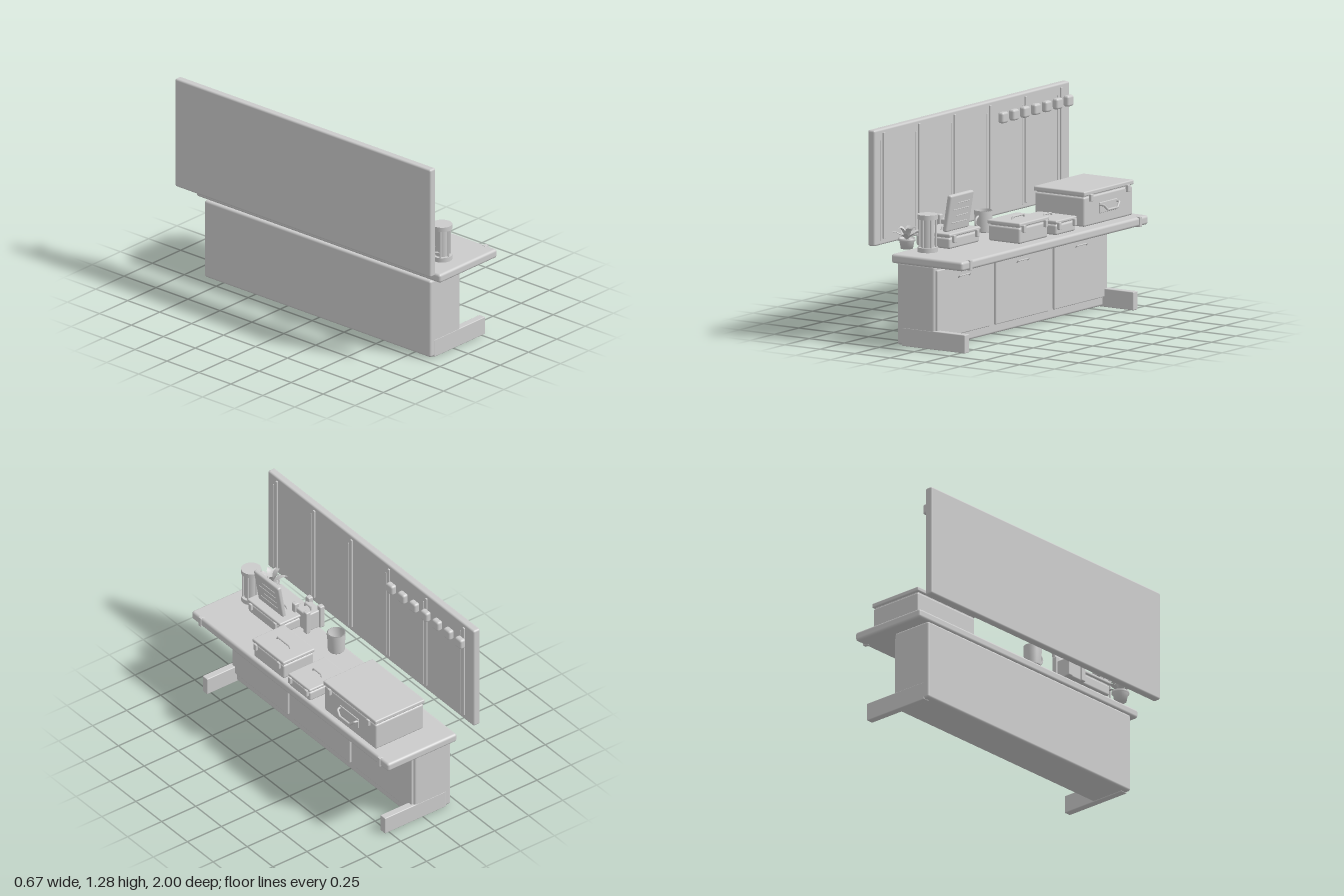
import * as THREE from 'three';
import { RoundedBoxGeometry } from 'three/addons/geometries/RoundedBoxGeometry.js';

const grey = new THREE.MeshStandardMaterial({ color: 0xcccccc });
const greyDouble = new THREE.MeshStandardMaterial({ color: 0xcccccc, side: THREE.DoubleSide });

function add(parent, name, geometry, x = 0, y = 0, z = 0, material = grey) {
  const mesh = new THREE.Mesh(geometry, material);
  mesh.name = name;
  mesh.position.set(x, y, z);
  parent.add(mesh);
  return mesh;
}

// Rounded box given by its limits along each axis
function box(parent, name, [x0, x1], [y0, y1], [z0, z1], r = 0.01) {
  const w = x1 - x0, h = y1 - y0, d = z1 - z0;
  const radius = Math.min(r, w * 0.45, h * 0.45, d * 0.45);
  return add(parent, name, new RoundedBoxGeometry(w, h, d, 3, radius),
    (x0 + x1) / 2, (y0 + y1) / 2, (z0 + z1) / 2);
}

// Bent rod through the given points
function rod(parent, name, points, r) {
  const path = new THREE.CurvePath();
  const v = points.map(p => new THREE.Vector3(...p));
  for (let i = 1; i < v.length; i++) path.add(new THREE.LineCurve3(v[i - 1], v[i]));
  return add(parent, name, new THREE.TubeGeometry(path, 24, r, 8, false), 0, 0, 0, greyDouble);
}

function group(parent, name, x = 0, y = 0, z = 0) {
  const g = new THREE.Group();
  g.name = name;
  g.position.set(x, y, z);
  parent.add(g);
  return g;
}

// Hard case with lid, latches on the +x side and an optional top grip
function makeCase(parent, name, [x0, x1], [y0, y1], [z0, z1], lid, grip) {
  const g = group(parent, name);
  const seam = y1 - lid;
  box(g, 'body', [x0 + 0.006, x1 - 0.006], [y0, seam - 0.006], [z0 + 0.006, z1 - 0.006], 0.012);
  box(g, 'seal', [x0 + 0.014, x1 - 0.014], [seam - 0.02, seam + 0.01], [z0 + 0.014, z1 - 0.014], 0.004);
  box(g, 'lid', [x0, x1], [seam, y1], [z0, z1], 0.008);
  const inset = (z1 - z0) * 0.13;
  for (const z of [z0 + inset, z1 - inset])
    box(g, 'latch', [x1 - 0.008, x1 + 0.012], [seam - 0.035, seam + 0.008], [z - 0.012, z + 0.012], 0.004);
  if (grip) {
    const x = (x0 + x1) / 2, z = (z0 + z1) / 2;
    rod(g, 'topGrip', [[x, y1 - 0.005, z - grip / 2], [x, y1 + 0.014, z - grip / 2 + 0.01],
      [x, y1 + 0.014, z + grip / 2 - 0.01], [x, y1 - 0.005, z + grip / 2]], 0.006);
  }
  return g;
}

function makeWorkbench(root) {
  const g = group(root, 'workbench');
  box(g, 'cabinet', [-0.205, 0.06], [0.005, 0.495], [-0.885, 0.885], 0.014);
  box(g, 'worktop', [-0.2, 0.31], [0.5, 0.555], [-0.955, 0.955], 0.016);
  for (const s of [-1, 1]) {
    box(g, 'foot', [-0.17, 0.28], [0, 0.11], [s * 0.863 - 0.023, s * 0.863 + 0.023], 0.005);
    box(g, 'edgeClamp', [0.285, 0.316], [0.497, 0.558], [s * 0.868 - 0.012, s * 0.868 + 0.012], 0.003);
  }
  // Three cupboard doors with bar pulls
  for (const z of [-0.6, 0, 0.6]) {
    box(g, 'door', [0.055, 0.074], [0.06, 0.47], [z - 0.27, z + 0.27], 0.006);
    rod(g, 'doorPull', [[0.07, 0.395, z - 0.055], [0.083, 0.408, z - 0.055],
      [0.083, 0.408, z + 0.055], [0.07, 0.395, z + 0.055]], 0.004);
  }
}

function makeWallBoard(root) {
  const g = group(root, 'wallBoard');
  box(g, 'backPanel', [-0.335, -0.285], [0.595, 1.285], [-1, 1], 0.012);
  for (let i = 0; i < 6; i++) {
    const z = -0.908 + i * 0.3632;
    box(g, 'rail', [-0.29, -0.276], [0.63, 1.262], [z - 0.008, z + 0.008], 0.003);
    box(g, 'railSeam', [-0.29, -0.281], [0.62, 1.22], [z + 0.029, z + 0.037], 0.002);
  }
  for (let i = 0; i < 7; i++) {
    const z = -0.925 + i * 0.1115;
    box(g, 'hangingPod', [-0.262, -0.222], [1.15, 1.216], [z - 0.031, z + 0.031], 0.014);
  }
}

function makeCases(root) {
  const big = makeCase(root, 'largeCase', [-0.065, 0.3], [0.575, 0.785], [-0.82, -0.31], 0.028, 0);
  box(big, 'handlePlate', [0.288, 0.3], [0.635, 0.7], [-0.65, -0.47], 0.004);
  rod(big, 'sideHandle', [[0.295, 0.685, -0.645], [0.322, 0.685, -0.64], [0.328, 0.655, -0.61],
    [0.328, 0.655, -0.51], [0.322, 0.685, -0.48], [0.295, 0.685, -0.475]], 0.007);
  makeCase(root, 'smallCase', [0.045, 0.32], [0.575, 0.663], [-0.207, 0.005], 0.02, 0.09);
  makeCase(root, 'mediumCase', [0.075, 0.31], [0.575, 0.7], [0.062, 0.365], 0.024, 0.13);
  makeCase(root, 'lowCase', [-0.185, 0.068], [0.575, 0.666], [0.415, 0.735], 0.02, 0.13);

  // Leaning tablet with raised ribs
  const t = group(root, 'tablet', 0.018, 0.777, 0.577);
  t.rotation.z = -0.17;
  box(t, 'tabletBody', [-0.015, 0.015], [-0.112, 0.112], [-0.119, 0.119], 0.011);
  for (let i = 0; i < 4; i++)
    box(t, 'rib', [0.012, 0.018], [-0.064 + i * 0.04, -0.058 + i * 0.04], [-0.08, 0.08 - (i % 2) * 0.04], 0.002);
}

function makeSmallBox(root) {
  // Box with four corner posts
  const g = group(root, 'cornerPostBox', -0.14, 0, 0.415);
  box(g, 'body', [-0.056, 0.056], [0.575, 0.695], [-0.062, 0.062], 0.008);
  for (const x of [-0.051, 0.051]) for (const z of [-0.056, 0.056])
    box(g, 'cornerPost', [x - 0.017, x + 0.017], [0.572, 0.722], [z - 0.017, z + 0.017], 0.007);
  rod(g, 'grip', [[0, 0.69, -0.03], [0, 0.715, -0.025], [0, 0.715, 0.025], [0, 0.69, 0.03]], 0.007);
}

function makeCanister(root) {
  const g = group(root, 'canister', -0.03, 0, 0.822);
  for (const y of [0.581, 0.776])
    add(g, 'cap', new THREE.CylinderGeometry(0.06, 0.06, 0.028, 32), 0, y, 0);
  add(g, 'core', new THREE.CylinderGeometry(0.041, 0.041, 0.19, 32), 0, 0.678, 0);
  for (let i = 0; i < 6; i++) {
    const a = (i + 0.5) * Math.PI / 3;
    add(g, 'guardBar', new THREE.CylinderGeometry(0.006, 0.006, 0.18, 8),
      0.049 * Math.cos(a), 0.678, 0.049 * Math.sin(a));
  }
}

function makeMug(root) {
  const g = group(root, 'mug', -0.122, 0.572, 0.118);
  const profile = [[0, 0], [0.046, 0], [0.05, 0.006], [0.055, 0.125], [0.05, 0.128], [0.045, 0.012], [0, 0.012]];
  add(g, 'cup', new THREE.LatheGeometry(profile.map(p => new THREE.Vector2(...p)), 32), 0, 0, 0, greyDouble);
  const handle = add(g, 'mugHandle', new THREE.TorusGeometry(0.032, 0.007, 8, 20, Math.PI), 0, 0.065, 0.05);
  handle.rotation.set(Math.PI / 2, Math.PI / 2, 0, 'ZXY');
  handle.rotation.set(0, -Math.PI / 2, -Math.PI / 2, 'YXZ');
}

// Pointed leaf folded along its middle, growing along +x and bending upward
function leafGeometry(length, rise) {
  const pos = [], index = [], rows = 5;
  for (let i = 0; i <= rows; i++) {
    const t = i / rows, w = 0.019 * Math.sin(Math.PI * (0.15 + 0.85 * t));
    const y = rise * Math.sin(t * Math.PI * 0.55);
    pos.push(t * length, y + w * 0.3, -w, t * length, y, 0, t * length, y + w * 0.3, w);
    if (i < rows) for (const k of [0, 1]) {
      const a = i * 3 + k;
      index.push(a, a + 1, a + 3, a + 1, a + 4, a + 3);
    }
  }
  const geo = new THREE.BufferGeometry();
  geo.setAttribute('position', new THREE.Float32BufferAttribute(pos, 3));
  geo.setIndex(index);
  geo.computeVertexNormals();
  return geo;
}

function makePlant(root) {
  const g = group(root, 'pottedPlant', -0.178, 0.57, 0.822);
  const profile = [[0, 0], [0.036, 0], [0.045, 0.048], [0.052, 0.048], [0.052, 0.062], [0.044, 0.062], [0.042, 0.052], [0, 0.052]];
  add(g, 'pot', new THREE.LatheGeometry(profile.map(p => new THREE.Vector2(...p)), 24), 0, 0, 0, greyDouble);
  for (let i = 0; i < 10; i++) {
    const inner = i % 2;
    const leaf = add(g, 'leaf', leafGeometry(inner ? 0.06 : 0.095, inner ? 0.075 : 0.045), 0, 0.052, 0, greyDouble);
    leaf.rotation.y = i * Math.PI / 5;
  }
}

export function createModel() {
  const root = new THREE.Group();
  root.name = 'supplyWorkbench';
  makeWorkbench(root);
  makeWallBoard(root);
  makeCases(root);
  makeSmallBox(root);
  makeCanister(root);
  makeMug(root);
  makePlant(root);
  return root;
}
